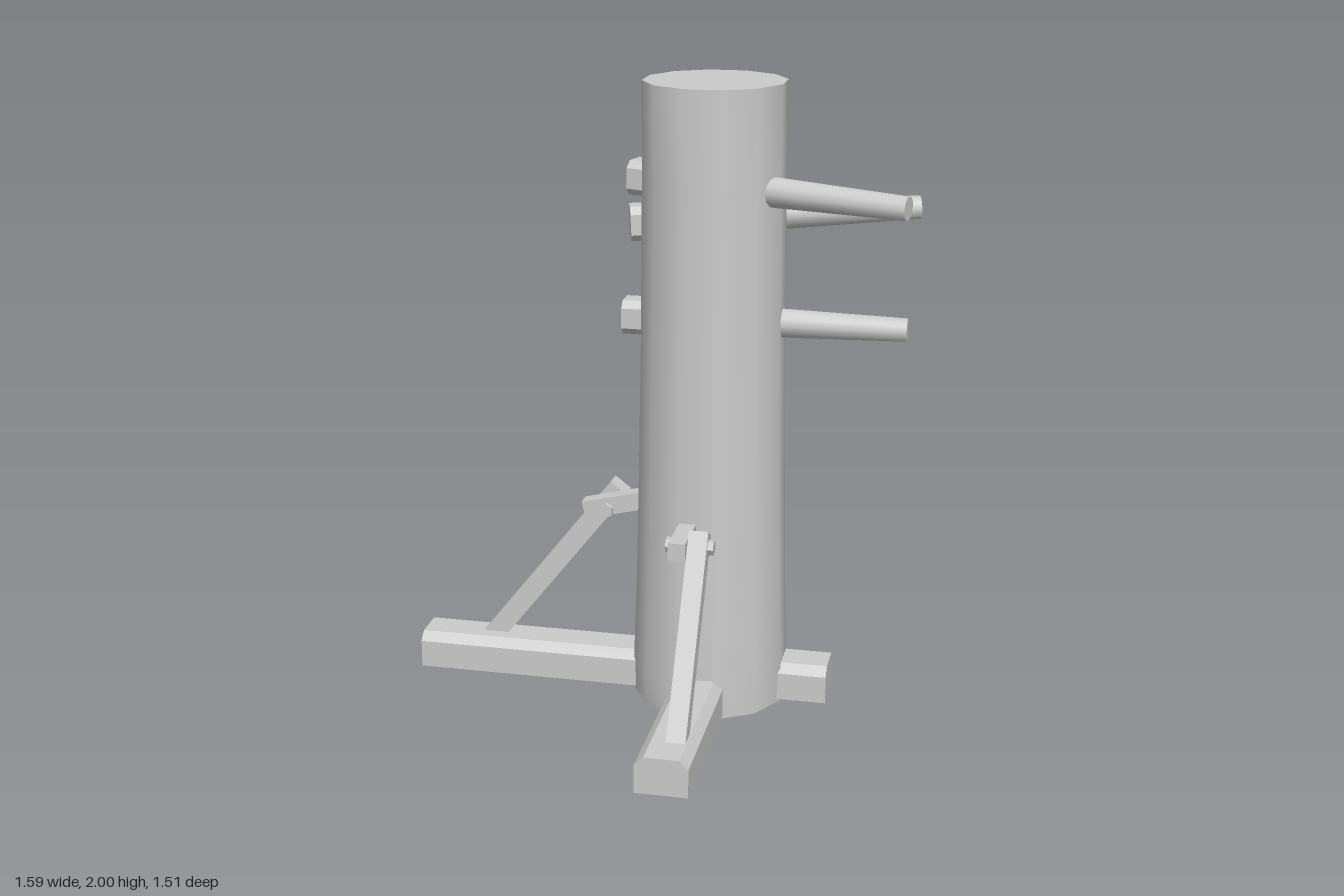
import * as THREE from 'three';
import { toCreasedNormals } from 'three/addons/utils/BufferGeometryUtils.js';

const CX = 0.175, CZ = -0.037; // trunk axis
const material = new THREE.MeshStandardMaterial({ color: 0xcccccc });

export function createModel() {
  const model = new THREE.Group();

  const add = (name, geometry, crease = 0.6) => {
    const mesh = new THREE.Mesh(toCreasedNormals(geometry, crease), material);
    mesh.name = name;
    model.add(mesh);
    return mesh;
  };

  // Outline (u, y) extruded from w0 to w1; u runs along x, or along z when alongZ
  const slab = (points, w0, w1, alongZ) => {
    const shape = new THREE.Shape(points.map(([u, y]) => new THREE.Vector2(u, y)));
    const geo = new THREE.ExtrudeGeometry(shape, { depth: w1 - w0, bevelEnabled: false });
    return alongZ ? geo.rotateY(-Math.PI / 2).translate(w1, 0, 0) : geo.translate(0, 0, w0);
  };

  // Straight bar outline between two points
  const bar = ([u0, y0], [u1, y1], width) => {
    const len = Math.hypot(u1 - u0, y1 - y0);
    const nu = (-(y1 - y0) / len) * width / 2, ny = ((u1 - u0) / len) * width / 2;
    return [[u0 + nu, y0 + ny], [u0 - nu, y0 - ny], [u1 - nu, y1 - ny], [u1 + nu, y1 + ny]];
  };

  // Bolt through a joint: thin shaft with a hexagonal head at each end
  const bolt = (name, u, y, w0, w1, alongZ) => {
    const group = new THREE.Group();
    group.name = name;
    const parts = [[0.012, (w0 + w1) / 2, w1 - w0, 10], [0.024, w0 + 0.009, 0.018, 6], [0.024, w1 - 0.009, 0.018, 6]];
    for (const [r, w, length, sides] of parts) {
      const geo = new THREE.CylinderGeometry(r, r, length, sides);
      if (alongZ) geo.rotateZ(Math.PI / 2).translate(w, y, u);
      else geo.rotateX(Math.PI / 2).translate(u, y, w);
      group.add(new THREE.Mesh(toCreasedNormals(geo, 0.7), material));
    }
    model.add(group);
  };

  // Twelve-sided trunk, flaring toward the foot; flats face the axes
  const flat = Math.cos(Math.PI / 12);
  const profile = [[0, 0], [0.241, 0], [0.243, 0.1], [0.233, 0.4], [0.226, 0.75], [0.219, 1.2], [0.215, 1.7], [0.215, 2], [0, 2]]
    .map(([r, y]) => new THREE.Vector2(r / flat, y));
  add('trunk', new THREE.LatheGeometry(profile, 12).rotateY(Math.PI / 12).translate(CX, 0, CZ));

  // Crossed base beams with chamfered top edges
  const beam = (centre) => {
    const h = 0.082, c = 0.028;
    return [[centre - h, 0.012], [centre + h, 0.012], [centre + h, 0.13 - c], [centre + h - c, 0.13],
      [centre - h + c, 0.13], [centre - h, 0.13 - c]];
  };
  add('sideBeam', slab(beam(CZ - 0.004), -0.797, 0.567, true), 0.3);
  add('frontBackBeam', slab(beam(CX + 0.002), -0.757, 0.752, false), 0.3);

  // Tapered arms, each with a chamfered square tenon showing through the back
  const arms = [
    ['frontUpperArm', [-0.085, 1.69, -0.075], [0.785, 1.669, 0.153]],
    ['backUpperArm', [-0.088, 1.553, -0.025], [0.785, 1.589, -0.27]],
    ['lowerArm', [-0.108, 1.254, -0.036], [0.78, 1.252, -0.04]],
  ];
  for (const [name, from, to] of arms) {
    const a = new THREE.Vector3(...from), b = new THREE.Vector3(...to);
    const length = a.distanceTo(b);
    const turn = new THREE.Quaternion().setFromUnitVectors(
      new THREE.Vector3(1, 0, 0), b.clone().sub(a).normalize());
    const shaftLength = length - 0.35;
    const shaft = new THREE.CylinderGeometry(0.037, 0.05, shaftLength, 12)
      .rotateZ(-Math.PI / 2).translate(length - shaftLength / 2, 0, 0);
    const h = 0.054, c = 0.022;
    const tenon = slab([[-h + c, -h], [h - c, -h], [h, -h + c], [h, h - c],
      [h - c, h], [-h + c, h], [-h, h - c], [-h, -h + c]], 0, 0.36, true);
    for (const [part, geo] of [['', shaft], ['Tenon', tenon]]) {
      const mesh = add(name + part, geo, part ? 0.3 : 0.6);
      mesh.position.copy(a);
      mesh.quaternion.copy(turn);
    }
  }

  // Right-hand brace
  add('rightStrut', slab(bar([-0.575, 0.105], [-0.13, 0.672], 0.066), -0.095, -0.03, false), 0.3);
  add('rightBracket', slab(bar([-0.235, 0.607], [0.0, 0.664], 0.058), -0.03, 0.022, false), 0.3);
  bolt('rightBolt', -0.157, 0.617, -0.115, 0.045, false);

  // Front brace
  add('frontStrut', slab(bar([0.622, 0.11], [0.278, 0.66], 0.056), 0.168, 0.228, true), 0.3);
  add('frontBracket', slab(bar([0.365, 0.623], [0.14, 0.623], 0.058), 0.115, 0.168, true), 0.3);
  bolt('frontBolt', 0.298, 0.622, 0.097, 0.246, true);

  // Bent back brace, narrowing toward the beam
  const bent = slab([[-0.2, 0.55], [-0.465, 0.47], [-0.625, 0.11], [-0.51, 0.11], [-0.4, 0.375], [-0.2, 0.43]], -1, 1, true);
  const pos = bent.attributes.position;
  for (let i = 0; i < pos.count; i++) {
    const half = THREE.MathUtils.mapLinear(pos.getZ(i), -0.27, -0.62, 0.055, 0.032);
    pos.setX(i, CX + 0.004 + pos.getX(i) * half);
  }
  add('backBrace', bent, 0.3);
  bolt('backBolt', -0.427, 0.417, 0.113, 0.245, true);

  return model;
}
